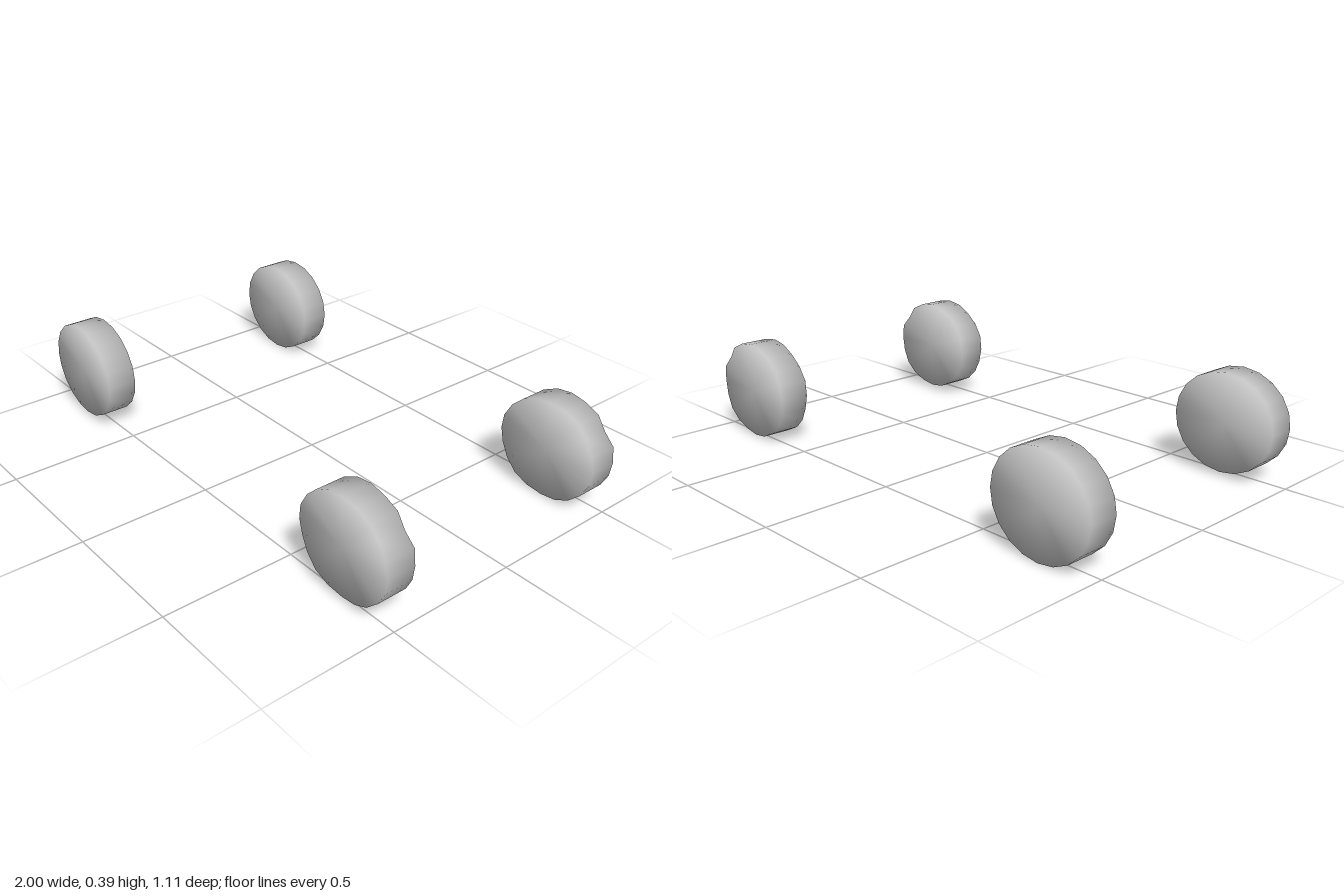
import * as THREE from 'three';
import { mergeVertices } from 'three/addons/utils/BufferGeometryUtils.js';

const SIDES = 20;
const RX = 0.206, RY = 0.188, DEPTH = 0.113;

// Soft-shaded disc wheel with its axle along z; a worn one has an uneven rim.
function wheelGeometry(worn) {
  let g = new THREE.CylinderGeometry(1, 1, DEPTH, SIDES, 1);
  g.rotateX(Math.PI / 2);
  g.deleteAttribute('normal');
  g.deleteAttribute('uv');
  g = mergeVertices(g, 1e-4);
  const p = g.attributes.position;
  for (let i = 0; i < p.count; i++) {
    let x = p.getX(i), y = p.getY(i), z = p.getZ(i);
    const onRim = Math.hypot(x, y) > 0.5;
    if (worn && onRim) {
      const a = Math.atan2(y, x);
      // gentle waviness of both rims
      z += 0.003 * Math.sin(a * 5 + (z > 0 ? 0 : 2));
      // small dent in the rear rim, high on the outer side
      if (z < 0 && Math.abs(a - 0.63) < 0.1) {
        x *= 0.95;
        y *= 0.95;
        z += 0.008;
      }
    }
    p.setXYZ(i, x * RX, y * RY, z);
  }
  g.computeVertexNormals();
  return g;
}

export function createModel() {
  const group = new THREE.Group();
  const material = new THREE.MeshStandardMaterial({ color: 0xcccccc });
  const plain = wheelGeometry(false), worn = wheelGeometry(true);

  // name, geometry, centre
  const wheels = [
    ['frontLeftWheel', worn, 0.787, 0.203, 0.471],
    ['backLeftWheel', worn, 0.79, 0.19, -0.473],
    ['frontRightWheel', plain, -0.762, 0.203, 0.497],
    ['backRightWheel', plain, -0.794, 0.188, -0.499],
  ];
  for (const [name, geometry, x, y, z] of wheels) {
    const wheel = new THREE.Mesh(geometry, material);
    wheel.name = name;
    wheel.position.set(x, y, z);
    group.add(wheel);
  }
  return group;
}
